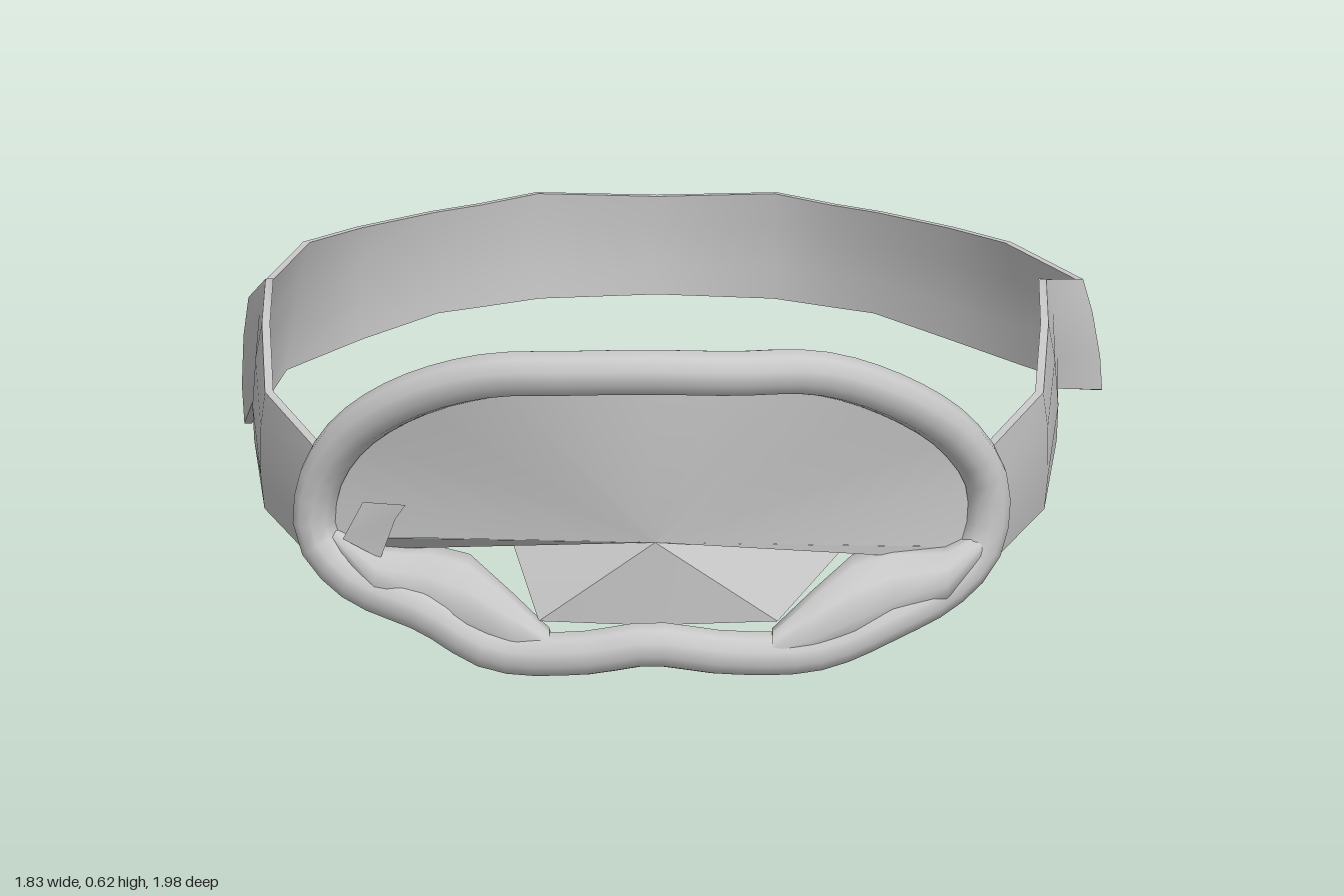
import * as THREE from 'three';
import { toCreasedNormals } from 'three/addons/utils/BufferGeometryUtils.js';

const V = (x, y, z) => new THREE.Vector3(x, y, z);

// Joins a row of closed rings into one skin and caps both ends
function loft(rings, crease) {
  const n = rings[0].length, idx = [];
  for (let i = 0; i < rings.length - 1; i++) {
    for (let j = 0; j < n; j++) {
      const a = i * n + j, b = i * n + (j + 1) % n;
      idx.push(a, b, b + n, a, b + n, a + n);
    }
  }
  const last = (rings.length - 1) * n;
  for (let j = 1; j < n - 1; j++) idx.push(0, j + 1, j, last, last + j, last + j + 1);
  const g = new THREE.BufferGeometry().setFromPoints(rings.flat());
  g.setIndex(idx);
  return toCreasedNormals(g, crease);
}

// Triangle fan from a hub to a line of rim points
function fan(hub, rim, crease) {
  const pts = [];
  for (let i = 0; i < rim.length - 1; i++) pts.push(hub, rim[i], rim[i + 1]);
  const g = new THREE.BufferGeometry().setFromPoints(pts);
  return toCreasedNormals(g, crease);
}

export function createModel() {
  const group = new THREE.Group();
  const grey = new THREE.MeshStandardMaterial({ color: 0xc8c8c8, side: THREE.DoubleSide });
  grey.name = 'light grey';
  const add = (name, geometry) => {
    const mesh = new THREE.Mesh(geometry, grey);
    mesh.name = name;
    group.add(mesh);
    return mesh;
  };

  // Frame: a round tube following the face, curved back towards the temples
  const faceZ = (x) => 0.955 - 0.48 * (x + 0.04) ** 2;
  const onFace = ([x, y]) => V(x, y, faceZ(x));
  const upper = [
    [0.565, 0.19], [0.575, 0.31], [0.52, 0.41], [0.41, 0.5], [0.26, 0.565], [0.1, 0.575], [-0.04, 0.58],
    [-0.18, 0.575], [-0.33, 0.56], [-0.48, 0.5], [-0.59, 0.41], [-0.645, 0.31], [-0.65, 0.21],
  ].map(onFace);
  const lower = [
    [-0.58, 0.14], [-0.44, 0.1], [-0.32, 0.045], [-0.16, 0.05], [-0.04, 0.07],
    [0.1, 0.05], [0.26, 0.043], [0.4, 0.085], [0.5, 0.125],
  ].map(onFace);
  const path = new THREE.CatmullRomCurve3([...upper, ...lower], true);
  add('frame', new THREE.TubeGeometry(path, 66, 0.041, 10, true));

  // Lens: shallow cone inside the upper frame
  const hub = V(-0.03, 0.26, 0.945);
  add('lens', fan(hub, upper, 0.5));

  // Nose pocket: folded faces below the lens
  add('nosePocket', fan(hub, [
    V(-0.65, 0.21, 0.78), V(-0.53, 0.19, 0.79), V(-0.4, 0.19, 0.72), V(-0.29, 0.2, 0.8), V(-0.24, 0.1, 0.92),
    V(-0.04, 0.1, 0.94), V(0.19, 0.1, 0.92), V(0.32, 0.2, 0.79), V(0.41, 0.19, 0.74), V(0.52, 0.17, 0.79),
    V(0.565, 0.19, 0.78),
  ], 0.3));

  // Cheek pads: rounded swellings that reach back on both sides of the nose
  // each row: distance from the middle, centre y, centre z, half height, half depth
  const padRows = [
    [0.2, 0.06, 0.935, 0.03, 0.03],
    [0.27, 0.075, 0.89, 0.065, 0.06],
    [0.35, 0.105, 0.835, 0.085, 0.095],
    [0.42, 0.125, 0.81, 0.075, 0.085],
    [0.52, 0.15, 0.815, 0.05, 0.055],
    [0.6, 0.2, 0.78, 0.03, 0.03],
  ];
  for (const [side, name] of [[1, 'leftCheekPad'], [-1, 'rightCheekPad']]) {
    const rings = padRows.map(([d, cy, cz, ry, rz]) => Array.from({ length: 10 }, (_, k) => {
      const a = (k / 10) * Math.PI * 2;
      return V(-0.02 + side * d, cy + ry * Math.sin(a), cz + rz * Math.cos(a));
    }));
    add(name, loft(rings, 1.1));
  }

  // Small folded flap at the right corner of the lens
  add('cornerFlap', fan(V(-0.6, 0.22, 0.82), [
    V(-0.53, 0.19, 0.84), V(-0.5, 0.27, 0.85), V(-0.48, 0.3, 0.86), V(-0.56, 0.295, 0.83),
  ], 0.5));

  // Strap: a bent band; each row is top x, top y, bottom x, bottom y, z
  const strapRows = [
    [0.58, 0.38, 0.58, 0.15, 0.76],
    [0.7, 0.4, 0.71, 0.165, 0.5],
    [0.74, 0.455, 0.765, 0.21, 0.22],
    [0.76, 0.485, 0.79, 0.25, 0],
    [0.86, 0.435, 0.91, 0.19, -0.18],
    [0.73, 0.46, 0.78, 0.18, -0.39],
    [0.62, 0.45, 0.63, 0.19, -0.56],
    [0.47, 0.44, 0.47, 0.2, -0.74],
    [0.37, 0.435, 0.37, 0.19, -0.83],
    [0.24, 0.44, 0.24, 0.185, -0.92],
    [-0.04, 0.42, -0.04, 0.18, -0.975],
    [-0.32, 0.44, -0.32, 0.185, -0.92],
    [-0.45, 0.435, -0.45, 0.19, -0.83],
    [-0.55, 0.44, -0.55, 0.2, -0.74],
    [-0.7, 0.45, -0.71, 0.19, -0.56],
    [-0.8, 0.46, -0.86, 0.17, -0.39],
    [-0.89, 0.4, -0.91, 0.12, -0.16],
    [-0.83, 0.485, -0.855, 0.25, 0],
    [-0.81, 0.455, -0.835, 0.21, 0.22],
    [-0.77, 0.4, -0.78, 0.165, 0.5],
    [-0.65, 0.38, -0.65, 0.15, 0.76],
  ];
  const strapRings = strapRows.map(([tx, ty, bx, by, z], i) => {
    const p = strapRows[Math.max(i - 1, 0)], q = strapRows[Math.min(i + 1, strapRows.length - 1)];
    // outward direction, level and square to the band
    const out = V(-(q[4] - p[4]), 0, q[0] - p[0]).normalize();
    const at = (t, o) => V(bx + (tx - bx) * t, by + (ty - by) * t, z).addScaledVector(out, o);
    return [at(0, 0.006), at(0.3, 0.014), at(0.7, 0.014), at(1, 0.006),
      at(1, -0.01), at(0.7, -0.004), at(0.3, -0.004), at(0, -0.01)];
  });
  add('strap', loft(strapRings, 0.75));

  return group;
}
